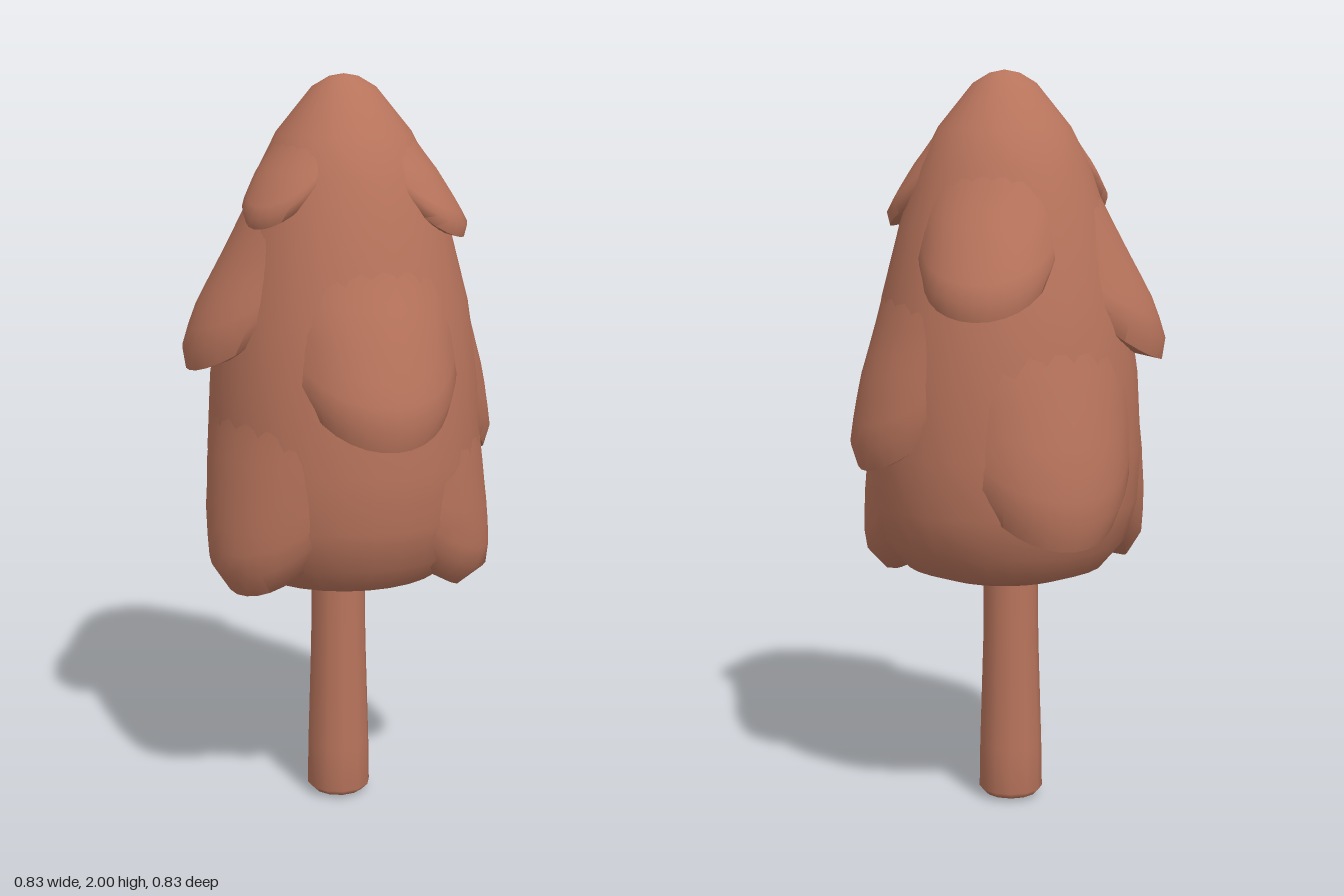
import * as THREE from 'three';
import { toCreasedNormals } from 'three/addons/utils/BufferGeometryUtils.js';

// Crown outline, bottom to top: [radius, height]
const PROFILE = [
  [0, 0.63], [0.18, 0.64], [0.27, 0.67], [0.33, 0.74], [0.362, 0.85], [0.37, 1.0], [0.36, 1.2],
  [0.331, 1.4], [0.28, 1.6], [0.228, 1.75], [0.178, 1.85], [0.085, 1.965], [0.04, 1.992], [0, 2.0],
];

function crownRadius(y) {
  for (let i = 1; i < PROFILE.length; i++) {
    const [r0, y0] = PROFILE[i - 1], [r1, y1] = PROFILE[i];
    if (y <= y1) return r0 + (r1 - r0) * Math.max(0, (y - y0) / (y1 - y0));
  }
  return 0;
}

// A drooping tongue of foliage: swells softly out of the crown and tucks under at its rim
function foliageFlap({ angle, tip, width, height, bulge }) {
  const cols = 14, rows = 9, pos = [], index = [];
  const a0 = THREE.MathUtils.degToRad(angle);
  const spread = width / crownRadius(Math.max(tip, 0.86));
  for (let j = 0; j <= rows + 1; j++) {
    const under = j > rows;
    const v = Math.min(j / rows, 1);
    for (let i = 0; i <= cols; i++) {
      const u = (i / cols) * 2 - 1;
      const rim = tip + 0.13 * u * u;
      const y = tip + height - v * (tip + height - rim) + (under ? 0.025 : 0);
      const base = crownRadius(Math.max(y, 0.86));
      const across = Math.pow(1 - u * u, 1.3);
      const swell = v * v * (3 - 2 * v);
      let r = base - 0.006 + (bulge + 0.006) * swell * across;
      // follow the crown's rounded base, round the lip in, then close underneath
      if (y < 0.86) r -= (base - crownRadius(y)) * (1 - 0.75 * across);
      if (v === 1) r -= 0.02;
      if (under) r -= 0.11;
      const a = a0 + u * spread;
      pos.push(r * Math.sin(a), y, r * Math.cos(a));
    }
  }
  const n = cols + 1;
  for (let j = 0; j <= rows; j++) {
    for (let i = 0; i < cols; i++) {
      const a = j * n + i, b = a + 1, c = a + n, d = c + 1;
      index.push(a, c, b, b, c, d);
    }
  }
  const g = new THREE.BufferGeometry();
  g.setAttribute('position', new THREE.Float32BufferAttribute(pos, 3));
  g.setIndex(index);
  return toCreasedNormals(g, 1.1);
}

export function createModel() {
  const model = new THREE.Group();
  model.name = 'tree';
  const clay = new THREE.MeshStandardMaterial({ color: 0xb8745c, side: THREE.DoubleSide });
  clay.name = 'clay brown';
  const lathe = (points, sides) =>
    new THREE.LatheGeometry(points.map(([r, y]) => new THREE.Vector2(r, y)), sides);

  // Trunk, a little wider at the foot and set slightly forward
  const trunk = new THREE.Mesh(
    lathe([[0, 0], [0.07, 0.008], [0.087, 0.025], [0.085, 0.15], [0.076, 0.45], [0.074, 0.7]], 12), clay);
  trunk.name = 'trunk';
  trunk.position.z = 0.02;
  model.add(trunk);

  // Crown body
  const crown = new THREE.Mesh(lathe(PROFILE, 28), clay);
  crown.name = 'crown';
  model.add(crown);

  // Foliage flaps, placed by compass angle from the front
  const flaps = [
    { angle: -1, tip: 1.62, width: 0.18, height: 0.26, bulge: 0.042 },
    { angle: 131, tip: 1.58, width: 0.2, height: 0.3, bulge: 0.055 },
    { angle: 228, tip: 1.37, width: 0.23, height: 0.42, bulge: 0.07 },
    { angle: -30, tip: 1.23, width: 0.25, height: 0.5, bulge: 0.09 },
    { angle: 70, tip: 1.08, width: 0.25, height: 0.52, bulge: 0.065 },
    { angle: 170, tip: 0.95, width: 0.25, height: 0.55, bulge: 0.06 },
    { angle: -93, tip: 0.77, width: 0.25, height: 0.6, bulge: 0.058 },
    { angle: 0, tip: 0.65, width: 0.25, height: 0.55, bulge: 0.062 },
    { angle: 131, tip: 0.63, width: 0.25, height: 0.5, bulge: 0.05 },
  ];
  const foliage = new THREE.Group();
  foliage.name = 'foliage';
  flaps.forEach((f, i) => {
    const flap = new THREE.Mesh(foliageFlap(f), clay);
    flap.name = `foliageFlap${i + 1}`;
    foliage.add(flap);
  });
  model.add(foliage);
  return model;
}
